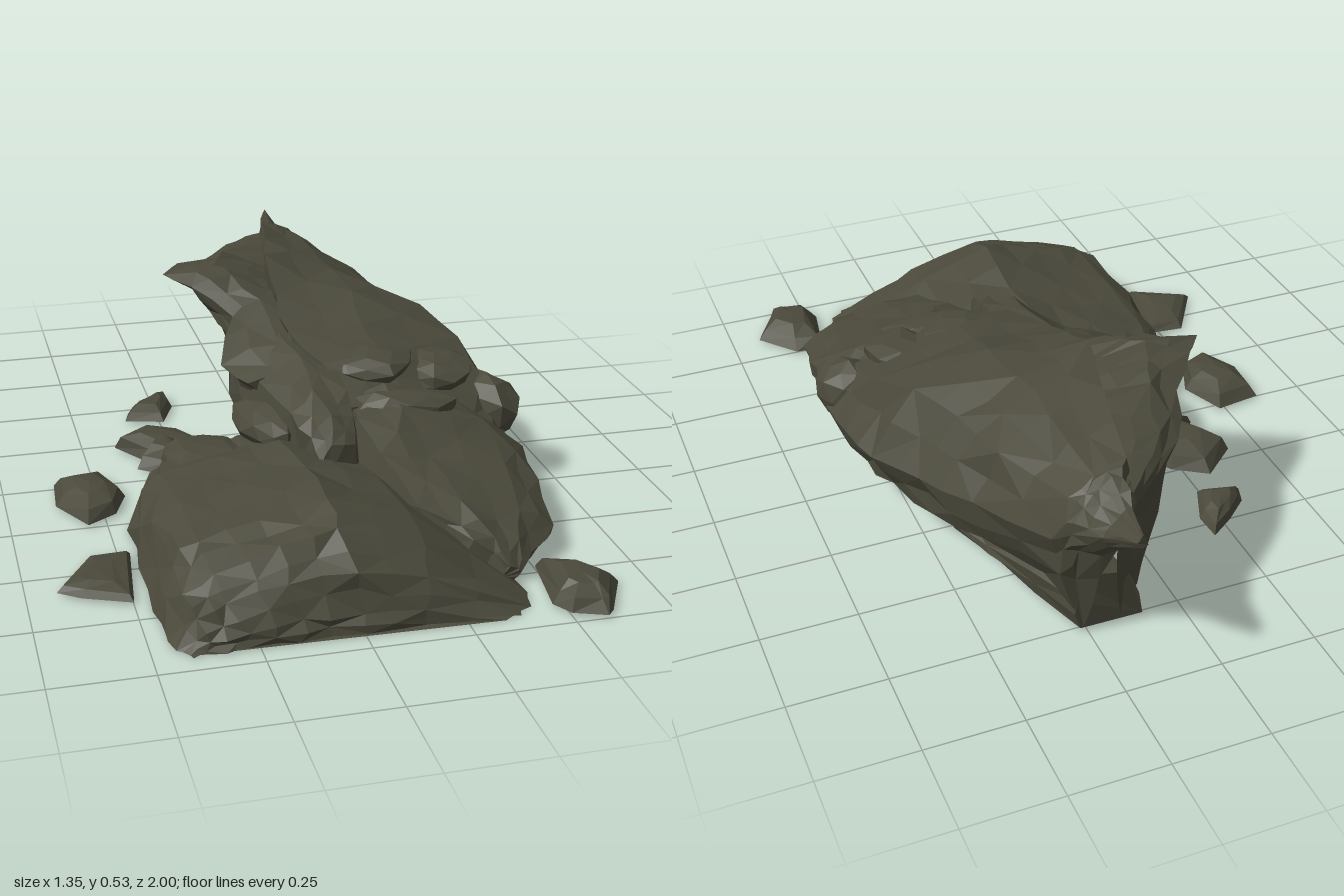
import * as THREE from 'three';

const stone = new THREE.MeshStandardMaterial({ color: 0x4a493b, flatShading: true, side: THREE.DoubleSide });
stone.name = 'dark olive stone';

// Repeatable roughness in -1..1 for a point
function rough(x, y, z, k) {
  const s = Math.sin(x * 127.1 + y * 311.7 + z * 74.7 + k * 19.3) * 43758.5453;
  return (s - Math.floor(s)) * 2 - 1;
}

function addMesh(group, name, geometry) {
  geometry.computeVertexNormals();
  const mesh = new THREE.Mesh(geometry, stone);
  mesh.name = name;
  group.add(mesh);
  return mesh;
}

function indexed(pos, idx) {
  const g = new THREE.BufferGeometry();
  g.setAttribute('position', new THREE.Float32BufferAttribute(pos, 3));
  g.setIndex(idx);
  return g;
}

// Skin over cross-sections [z, x,y, x,y, ...] ordered by z, with chipped facets in between
function rockLoft(group, name, sections, { flip = false, chip = 0.012 } = {}) {
  const fine = [];
  sections.forEach((s, i) => {
    fine.push(s);
    const next = sections[i + 1];
    if (next) fine.push(s.map((v, k) => (v + next[k]) / 2));
  });
  const pos = [], idx = [];
  let n = 0;
  for (const s of fine) {
    const row = [];
    for (let j = 1; j < s.length; j += 2) {
      row.push([s[j], s[j + 1]]);
      if (j + 3 < s.length) row.push([(s[j] + s[j + 2]) / 2, (s[j + 1] + s[j + 3]) / 2]);
    }
    n = row.length;
    // Thin sections such as tips stay crisp
    const xs = row.map(p => p[0]);
    const c = chip * Math.min(1, (Math.max(...xs) - Math.min(...xs)) * 4);
    for (const [x, y] of row) {
      const z = s[0];
      const lift = y < 0.03 ? 0 : c * 0.7 * rough(x, y, z, 2);
      pos.push(x + c * rough(x, y, z, 1), y + lift, z + c * rough(x, y, z, 3));
    }
  }
  const tri = (a, b, c) => flip ? idx.push(a, c, b) : idx.push(a, b, c);
  for (let i = 0; i < fine.length - 1; i++) {
    for (let j = 0; j < n - 1; j++) {
      const a = i * n + j, b = a + 1, c = a + n, d = c + 1;
      if ((i + j) % 2) { tri(a, c, b); tri(b, c, d); } else { tri(a, c, d); tri(a, d, b); }
    }
  }
  // Close the two ends
  const last = (fine.length - 1) * n;
  for (let j = 1; j < n - 1; j++) {
    tri(0, j, j + 1);
    tri(last, last + j + 1, last + j);
  }
  addMesh(group, name, indexed(pos, idx));
}

// Small stone rising from a ground outline [x,z] to a flattened crown
function pebble(group, name, outline, height) {
  const n = outline.length;
  const cx = outline.reduce((s, p) => s + p[0], 0) / n;
  const cz = outline.reduce((s, p) => s + p[1], 0) / n;
  const pos = [], idx = [];
  [[1, 0], [0.82, 0.55], [0.45, 0.92]].forEach(([s, h]) => {
    for (const [x, z] of outline) {
      const r = s === 1 ? 1 : 1 + 0.08 * rough(x, h, z, 4);
      pos.push(cx + (x - cx) * s * r, 0.008 + (height - 0.008) * h * r, cz + (z - cz) * s * r);
    }
  });
  pos.push(cx, height, cz);
  for (let j = 0; j < n; j++) {
    const k = (j + 1) % n;
    for (let i = 0; i < 2; i++) {
      const a = i * n + j, b = i * n + k;
      idx.push(a, a + n, b, b, a + n, b + n);
    }
    idx.push(2 * n + j, 3 * n, 2 * n + k);
  }
  addMesh(group, name, indexed(pos, idx));
}

// Flat faceted block bedded into the larger rocks
function block(group, name, [x, y, z], [rx, ry, rz], turn) {
  const g = new THREE.IcosahedronGeometry(1, 1);
  const p = g.attributes.position;
  for (let i = 0; i < p.count; i++) {
    const v = new THREE.Vector3().fromBufferAttribute(p, i);
    const q = v.clone().multiplyScalar(50).round();
    v.multiplyScalar(1 + 0.14 * rough(q.x, q.y, q.z, x * 9));
    p.setXYZ(i, v.x * rx, v.y * ry, v.z * rz);
  }
  const m = addMesh(group, name, g);
  m.position.set(x, y, z);
  m.rotation.y = turn;
}

export function createModel() {
  const model = new THREE.Group();
  model.name = 'rockOutcrop';

  // Tall ridge running back into an overhanging spike, undercut along its outer side
  rockLoft(model, 'spikedRidge', [
    [-1, .205, .42, .215, .445, .22, .45, .225, .44, .23, .43, .225, .42, .22, .415],
    [-.88, .17, .36, .195, .44, .22, .43, .245, .4, .265, .37, .25, .34, .22, .32],
    [-.8, .14, .3, .175, .47, .23, .45, .28, .41, .31, .33, .29, .27, .24, .19],
    [-.76, .11, .28, .155, .48, .24, .46, .31, .41, .34, .3, .32, .2, .26, .01],
    [-.5, .08, .3, .11, .505, .24, .47, .37, .39, .445, .25, .42, .13, .26, .01],
    [-.32, .09, .38, .05, .52, .25, .47, .42, .39, .52, .23, .49, .11, .28, .01],
    [-.15, .08, .32, .04, .455, .26, .45, .48, .385, .59, .21, .545, .09, .3, .01],
    [0, .05, .3, .04, .4, .26, .41, .53, .345, .625, .2, .58, .08, .32, .01],
    [.16, .1, .25, .1, .37, .28, .375, .55, .3, .64, .18, .585, .08, .34, .01],
    [.27, .12, .1, .15, .28, .3, .28, .5, .22, .58, .16, .54, .07, .36, .01],
  ]);

  // Lower stratum recessed beneath the ridge
  rockLoft(model, 'lowerStratum', [
    [-.77, .1, .01, .14, .16, .24, .17, .28, .1, .27, .01],
    [-.45, .1, .01, .2, .16, .34, .15, .4, .07, .37, .01],
    [-.1, .1, .01, .25, .14, .42, .12, .49, .06, .45, .01],
    [.25, .12, .01, .3, .12, .45, .1, .52, .05, .47, .01],
    [.55, .25, .01, .35, .1, .45, .08, .5, .04, .47, .01],
  ]);

  // Second plate with a ledge jutting over a hollow side wall
  rockLoft(model, 'ledgePlate', [
    [-.82, .18, .44, .16, .43, .15, .4, .17, .35, .18, .3, .2, .25],
    [-.76, .18, .45, .1, .44, .07, .41, .1, .3, .12, .15, .16, .01],
    [-.66, .16, .46, .02, .45, -.03, .42, 0, .3, .04, .15, .07, .01],
    [-.5, .14, .46, -.02, .48, -.11, .45, -.06, .36, -.02, .18, .02, .01],
    [-.4, .14, .44, -.06, .5, -.18, .48, -.12, .42, 0, .25, .02, .01],
    [-.34, .12, .43, -.09, .505, -.235, .49, -.15, .43, 0, .28, .02, .01],
    [-.27, .12, .42, -.05, .49, -.17, .46, -.12, .38, 0, .25, .02, .01],
    [-.18, .14, .42, 0, .44, -.07, .4, -.06, .33, .02, .2, 0, .01],
    [0, .16, .39, .02, .38, -.13, .33, -.1, .28, -.03, .15, 0, .01],
    [.1, .15, .35, .05, .35, -.08, .3, -.05, .26, 0, .13, .02, .01],
  ], { flip: true });

  // Narrow rib descending onto the front slab
  rockLoft(model, 'centreRib', [
    [-.1, -.1, .2, -.09, .33, .02, .39, .14, .39, .2, .3],
    [.1, -.07, .1, -.06, .31, .04, .37, .14, .37, .18, .2],
    [.28, -.03, .1, -.02, .28, .05, .335, .13, .33, .17, .15],
    [.38, .01, .1, .01, .25, .06, .315, .13, .3, .16, .12],
    [.42, .03, .1, .03, .2, .06, .25, .12, .24, .14, .1],
  ]);

  // Low boulder beside the slab, tucked under at its outer edge
  rockLoft(model, 'sideBoulder', [
    [.24, .12, .1, .15, .27, .25, .33, .45, .26, .59, .17, .56, .08, .42, .01],
    [.34, .12, .1, .14, .28, .28, .3, .5, .23, .61, .15, .57, .07, .42, .01],
    [.48, .15, .1, .17, .24, .3, .22, .5, .18, .6, .12, .57, .06, .42, .01],
    [.66, .2, .05, .22, .17, .32, .17, .48, .13, .575, .08, .55, .04, .44, .01],
    [.75, .3, .03, .33, .11, .38, .11, .45, .09, .48, .06, .47, .03, .42, .01],
    [.79, .39, .02, .4, .04, .41, .05, .43, .04, .44, .03, .43, .02, .42, .01],
  ]);

  // Broad domed slab at the front
  rockLoft(model, 'frontSlab', [
    [.05, -.32, 0, -.31, .06, -.28, .08, -.18, .1, -.05, .12, .02, .1, .1, 0],
    [.12, -.38, 0, -.36, .08, -.32, .11, -.19, .14, -.05, .17, .1, .14, .25, 0],
    [.28, -.45, 0, -.41, .11, -.36, .155, -.2, .18, -.04, .21, .12, .17, .36, 0],
    [.5, -.455, 0, -.42, .12, -.36, .175, -.2, .2, -.03, .235, .15, .18, .44, 0],
    [.72, -.455, 0, -.42, .12, -.35, .18, -.2, .21, -.04, .255, .17, .185, .45, 0],
    [.83, -.45, 0, -.41, .1, -.34, .15, -.18, .19, -.03, .225, .17, .16, .43, 0],
    [.9, -.44, 0, -.39, .07, -.32, .1, -.17, .13, -.02, .15, .16, .11, .42, 0],
    [.935, -.42, 0, -.36, .025, -.28, .04, -.15, .05, 0, .05, .15, .04, .38, 0],
    [.945, -.4, 0, -.34, .003, -.27, .005, -.15, .005, 0, .005, .15, .005, .35, 0],
  ], { chip: 0.01 });

  // Broken blocks along the step between ridge and boulder, and at the slab's back
  [
    [[.24, .345, .12], [.13, .045, .11], .3],
    [[.42, .315, .14], [.1, .05, .11], .2],
    [[.56, .21, .17], [.08, .09, .1], .6],
    [[.3, .27, .28], [.15, .05, .06], -.1],
    [[-.22, .13, .17], [.12, .045, .14], .4],
    [[-.05, .2, .16], [.07, .06, .15], .2],
  ].forEach(([p, r, t], i) => block(model, 'brokenBlock' + (i + 1), p, r, t));

  // Loose stones scattered around
  [
    [[[-.35, -.4], [-.335, -.45], [-.27, -.51], [-.2, -.56], [-.195, -.48], [-.24, -.37]], .05],
    [[[-.41, -.22], [-.31, -.31], [-.22, -.25], [-.14, -.12], [-.2, -.03], [-.24, -.1], [-.28, .01], [-.37, -.06], [-.34, -.11]], .07],
    [[[-.61, -.01], [-.48, -.03], [-.43, .1], [-.47, .2], [-.55, .25], [-.62, .12]], .065],
    [[[-.57, .42], [-.47, .43], [-.5, .68], [-.62, .63], [-.675, .59]], .035],
    [[[.5, .73], [.58, .74], [.67, .85], [.6, .98], [.58, 1], [.5, .97], [.47, .92]], .065],
  ].forEach(([outline, h], i) => pebble(model, 'looseStone' + (i + 1), outline, h));

  return model;
}
